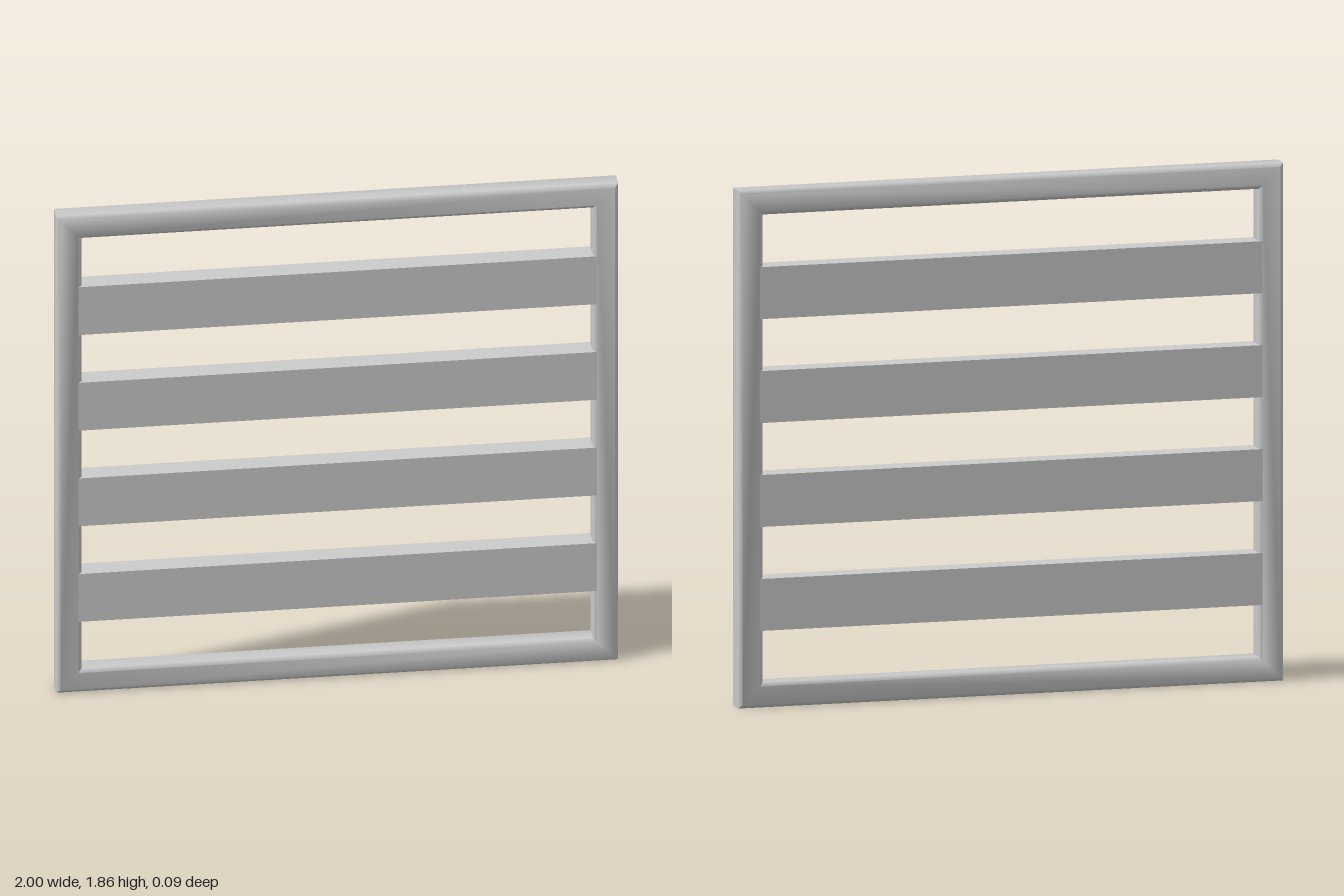
import * as THREE from 'three';
import { toCreasedNormals } from 'three/addons/utils/BufferGeometryUtils.js';

const W = 2, H = 1.855, D = 0.088, BORDER = 0.09, BEVEL = 0.013;

function rectangle(path, x, y0, y1) {
  path.moveTo(-x, y0);
  path.lineTo(x, y0);
  path.lineTo(x, y1);
  path.lineTo(-x, y1);
  path.closePath();
  return path;
}

export function createModel() {
  const group = new THREE.Group();
  group.name = 'slattedPanel';
  const material = new THREE.MeshStandardMaterial({ color: 0xcccccc });

  // Surrounding frame with softly bevelled edges
  const outline = rectangle(new THREE.Shape(), W / 2, 0, H);
  outline.holes.push(rectangle(new THREE.Path(), W / 2 - BORDER, BORDER, H - BORDER));
  const frameGeometry = new THREE.ExtrudeGeometry(outline, {
    depth: D - 2 * BEVEL,
    bevelEnabled: true,
    bevelThickness: BEVEL,
    bevelSize: BEVEL,
    bevelOffset: -BEVEL,
    bevelSegments: 1,
  });
  frameGeometry.translate(0, 0, -D / 2 + BEVEL);
  const frame = new THREE.Mesh(toCreasedNormals(frameGeometry, 1), material);
  frame.name = 'frame';
  group.add(frame);

  // Four wide slats, as tall as the gaps between them, let into the frame
  const slatHeight = (H - 2 * BORDER) / 9;
  const slatGeometry = new THREE.BoxGeometry(W - 2 * BORDER + 0.05, slatHeight, D - 0.002);
  for (let i = 0; i < 4; i++) {
    const slat = new THREE.Mesh(slatGeometry, material);
    slat.name = `slat${i + 1}`;
    slat.position.y = BORDER + slatHeight * (1.5 + 2 * i);
    group.add(slat);
  }
  return group;
}
